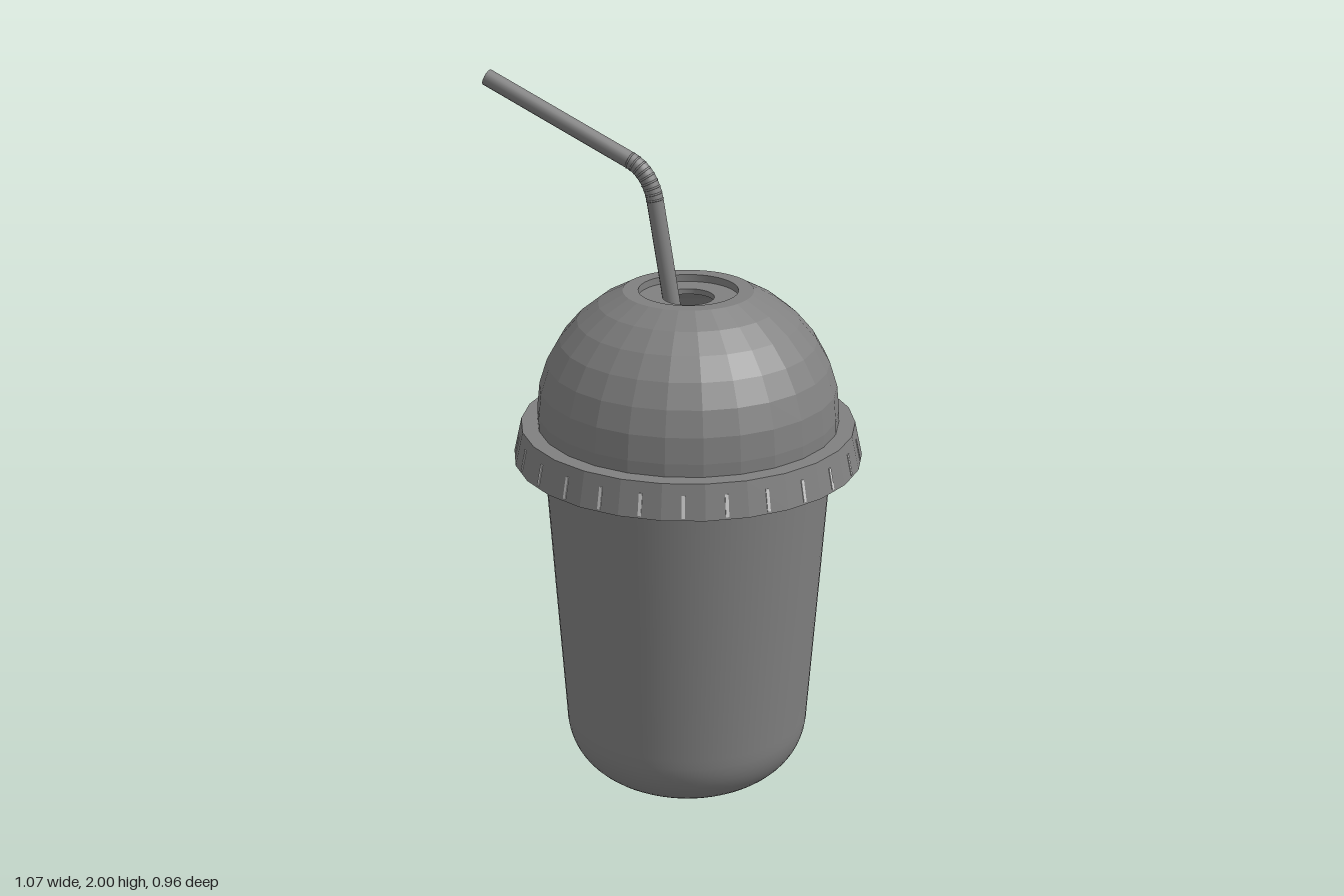
import * as THREE from 'three';
import { toCreasedNormals } from 'three/addons/utils/BufferGeometryUtils.js';

const SIDES = 26;
const CUP_X = 0.058;

const smooth = new THREE.MeshStandardMaterial({ color: 0x808080, side: THREE.DoubleSide });
const faceted = new THREE.MeshStandardMaterial({ color: 0x808080, side: THREE.DoubleSide, flatShading: true });
const pale = new THREE.MeshStandardMaterial({ color: 0xe0e0e0 });

const toPoints = (pairs) => pairs.map(([x, y]) => new THREE.Vector2(x, y));

function addMesh(parent, name, geometry, material) {
  const mesh = new THREE.Mesh(geometry, material);
  mesh.name = name;
  parent.add(mesh);
  return mesh;
}

function smoothLathe(pairs, segments = 64) {
  return toCreasedNormals(new THREE.LatheGeometry(toPoints(pairs), segments), 0.6);
}

// Tapered cup with a rounded foot and a shallow recess underneath
function buildCup() {
  const corner = new THREE.CubicBezierCurve(
    ...toPoints([[0.187, 0], [0.275, 0.03], [0.345, 0.085], [0.345, 0.2]])
  ).getPoints(12).map((p) => [p.x, p.y]);
  return smoothLathe([
    [0, 0.025], [0.165, 0.025], [0.175, 0], ...corner,
    [0.372, 0.6], [0.397, 0.98], [0.402, 1.05],
  ]);
}

// Faceted dome: a short upright wall, then the upper part of an ellipse
function buildDome() {
  const radius = 0.414, rise = 0.376, rows = 6, profile = [[radius, 1.07]];
  const last = Math.acos(0.177 / radius);
  for (let i = 0; i <= rows; i++) {
    const a = (i / rows) * last;
    profile.push([radius * Math.cos(a), 1.11 + rise * Math.sin(a)]);
  }
  return new THREE.LatheGeometry(toPoints(profile), SIDES);
}

function buildLid() {
  const lid = new THREE.Group();
  lid.name = 'lid';
  addMesh(lid, 'dome', buildDome(), faceted);

  // Flat top with a sunken ring and the straw hole
  addMesh(lid, 'domeTop', smoothLathe([
    [0.177, 1.45], [0.135, 1.45], [0.135, 1.43], [0.07, 1.43], [0.07, 1.415],
  ], 52), smooth);

  // Flared skirt with a flat ledge around the dome
  addMesh(lid, 'skirt', new THREE.LatheGeometry(toPoints([
    [0.402, 1.05], [0.445, 1.05], [0.47, 0.98], [0.48, 0.98],
    [0.459, 1.075], [0.413, 1.075],
  ]), SIDES), faceted);

  // Small pale grip ribs, one on each skirt face
  const ribGeometry = new THREE.BoxGeometry(0.009, 0.06, 0.008);
  const ribs = new THREE.Group();
  ribs.name = 'gripRibs';
  for (let i = 0; i < SIDES; i++) {
    const a = ((i + 0.5) / SIDES) * Math.PI * 2;
    const rib = addMesh(ribs, 'gripRib', ribGeometry, pale);
    rib.position.set(Math.sin(a) * 0.467, 1.015, Math.cos(a) * 0.467);
    rib.rotation.set(-0.21, a, 0, 'YXZ');
  }
  lid.add(ribs);
  return lid;
}

// Hollow bent straw with a finely ridged elbow
function buildStraw() {
  const straw = new THREE.Group();
  straw.name = 'straw';
  const v = (x, y) => new THREE.Vector3(x, y, 0);
  const tip = v(-0.53, 1.978), upper = v(-0.11, 1.79), elbow = v(-0.055, 1.765);
  const lower = v(-0.039, 1.69), foot = v(0.235, 0.1);
  const bend = new THREE.QuadraticBezierCurve3(upper, elbow, lower);

  const path = new THREE.CurvePath();
  path.add(new THREE.LineCurve3(tip, upper));
  path.add(bend);
  path.add(new THREE.LineCurve3(lower, foot));
  addMesh(straw, 'strawOuter', new THREE.TubeGeometry(path, 160, 0.023, 16), smooth);
  addMesh(straw, 'strawInner', new THREE.TubeGeometry(path, 160, 0.019, 16), smooth);

  // Rim closing the wall at both ends
  for (const [end, t] of [[tip, 0], [foot, 1]]) {
    const rim = addMesh(straw, 'strawRim', new THREE.RingGeometry(0.019, 0.023, 16), smooth);
    rim.position.copy(end);
    rim.quaternion.setFromUnitVectors(new THREE.Vector3(0, 0, 1), path.getTangent(t));
  }

  // Low ridges around the elbow
  const ridgeGeometry = new THREE.TorusGeometry(0.0215, 0.003, 6, 16);
  for (let i = 0; i < 9; i++) {
    const t = i / 8;
    const ridge = addMesh(straw, 'elbowRidge', ridgeGeometry, smooth);
    ridge.position.copy(bend.getPointAt(t));
    ridge.quaternion.setFromUnitVectors(new THREE.Vector3(0, 0, 1), bend.getTangentAt(t));
  }
  return straw;
}

export function createModel() {
  const model = new THREE.Group();
  model.name = 'drinkCup';
  const body = new THREE.Group();
  body.name = 'cupAndLid';
  body.position.x = CUP_X;
  addMesh(body, 'cup', buildCup(), smooth);
  body.add(buildLid());
  model.add(body, buildStraw());
  return model;
}
